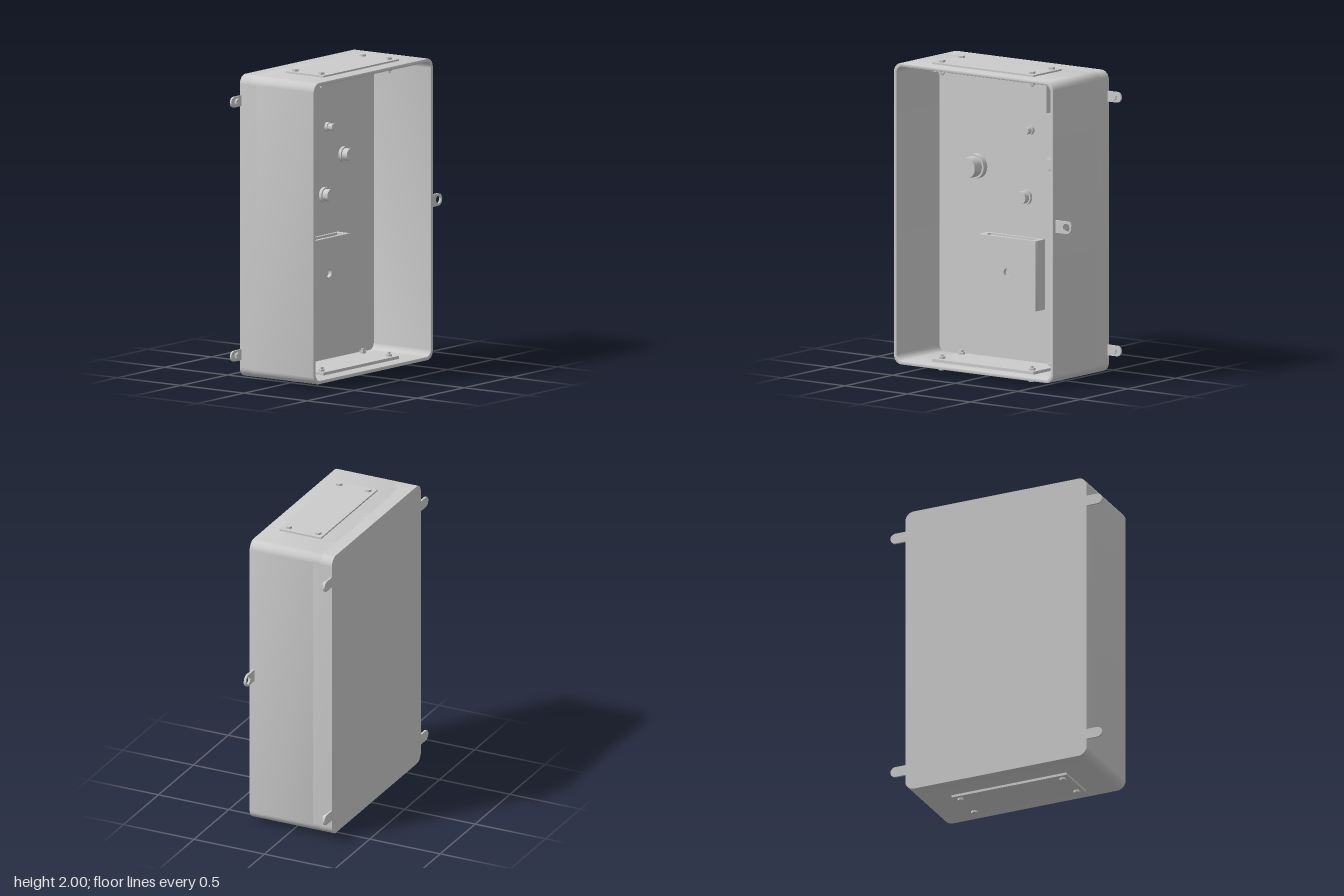
import * as THREE from 'three';
import { toCreasedNormals } from 'three/addons/utils/BufferGeometryUtils.js';

const grey = new THREE.MeshStandardMaterial({ color: 0xcccccc });
const X0 = -0.65, X1 = 0.625, Y0 = 0.03, Y1 = 1.975, CX = (X0 + X1) / 2, CY = (Y0 + Y1) / 2;
const BACK = -0.293, FRONT = 0.293, FLOOR = -0.16;

// Rounded rectangle outline, drawn on a Shape or a Path
function roundRect(target, cx, cy, w, h, r) {
  const x = w / 2 - r, y = h / 2 - r;
  target.absarc(cx + x, cy + y, r, 0, Math.PI / 2);
  target.absarc(cx - x, cy + y, r, Math.PI / 2, Math.PI);
  target.absarc(cx - x, cy - y, r, Math.PI, Math.PI * 1.5);
  target.absarc(cx + x, cy - y, r, Math.PI * 1.5, Math.PI * 2);
  target.closePath();
  return target;
}

function circlePath(x, y, r) {
  return new THREE.Path().absarc(x, y, r, 0, Math.PI * 2);
}

function extrude(shape, z0, z1, options = {}) {
  const g = new THREE.ExtrudeGeometry(shape, { depth: z1 - z0, bevelEnabled: false, curveSegments: 10, ...options });
  return toCreasedNormals(g.translate(0, 0, z0), 0.6);
}

export function createModel() {
  const model = new THREE.Group();

  const add = (name, geometry, parent = model) => {
    const mesh = new THREE.Mesh(geometry, grey);
    mesh.name = name;
    parent.add(mesh);
    return mesh;
  };
  const box = (name, x0, x1, y0, y1, z0, z1, parent) =>
    add(name, new THREE.BoxGeometry(x1 - x0, y1 - y0, z1 - z0)
      .translate((x0 + x1) / 2, (y0 + y1) / 2, (z0 + z1) / 2), parent);
  // Cylinder along y or z; six sides make a hex head
  const rod = (name, r, from, to, a, b, axis, sides, parent) => {
    let g = new THREE.CylinderGeometry(r, r, to - from, sides);
    if (axis === 'z') g.rotateX(Math.PI / 2).translate(a, b, (from + to) / 2);
    else g.translate(a, (from + to) / 2, b);
    return add(name, toCreasedNormals(g, 0.6), parent);
  };

  // Enclosure: solid back and an open walled frame with a softened rim
  const W = X1 - X0, H = Y1 - Y0, B = 0.007, T = 0.024;
  const back = roundRect(new THREE.Shape(), CX, CY, W, H, 0.06);
  add('enclosureBack', extrude(back, BACK, FLOOR));
  const wall = roundRect(new THREE.Shape(), CX, CY, W - 2 * B, H - 2 * B, 0.06 - B);
  wall.holes.push(roundRect(new THREE.Path(), CX, CY, W - 2 * T + 2 * B, H - 2 * T + 2 * B, 0.045 + B));
  add('enclosureWalls', extrude(wall, FLOOR - 0.05, FRONT - B,
    { bevelEnabled: true, bevelSize: B, bevelThickness: B, bevelSegments: 2 }));

  // Bolted gland plates, one pair at the bottom and a mirrored pair at the top
  for (const top of [false, true]) {
    const gland = new THREE.Group();
    gland.name = top ? 'topGlandPlate' : 'bottomGlandPlate';
    const span = (a, b) => top ? [2 - b, 2 - a] : [a, b];
    box('outerPlate', -0.416, 0.392, ...span(0.014, 0.032), -0.1, 0.195, gland);
    box('innerPlate', -0.416, 0.392, ...span(0.05, 0.073), -0.1, 0.195, gland);
    for (const x of [-0.373, 0.346]) for (const z of [-0.058, 0.149]) {
      rod('boltHead', 0.022, ...span(0, 0.015), x, z, 'y', 6, gland);
      rod('boltShaft', 0.011, ...span(0.01, 0.1), x, z, 'y', 12, gland);
      rod('boltNut', 0.022, ...span(0.072, 0.087), x, z, 'y', 6, gland);
    }
    model.add(gland);
  }

  // Rounded tab that sticks out sideways from x to the tip
  const tab = (name, x, tip, y, r, z0, z1, holeR) => {
    const s = Math.sign(tip - x), c = tip - s * r, shape = new THREE.Shape();
    shape.moveTo(x, y - s * r);
    shape.lineTo(c, y - s * r);
    shape.absarc(c, y, r, s > 0 ? -Math.PI / 2 : Math.PI / 2, s > 0 ? Math.PI / 2 : Math.PI * 1.5);
    shape.lineTo(x, y + s * r);
    shape.closePath();
    if (holeR) shape.holes.push(circlePath(c, y, holeR));
    add(name, extrude(shape, z0, z1));
  };

  // Wall mounting tabs with hex bolts
  for (const y of [0.173, 1.81]) {
    tab('leftMountingTab', X1 - 0.01, 0.73, y, 0.034, BACK, -0.28);
    tab('rightMountingTab', X0 + 0.01, -0.757, y, 0.034, BACK, -0.28);
    for (const x of [0.68, -0.707]) {
      rod('mountingWasher', 0.017, -0.281, -0.272, x, y, 'z', 16);
      rod('mountingBolt', 0.023, -0.274, -0.261, x, y, 'z', 6);
    }
  }
  // Padlock eye on the left side
  tab('lockEye', X1 - 0.01, 0.752, 1.045, 0.04, 0.255, 0.27, 0.026);

  // Round fittings on the inner back wall: x, y, flange radius, body radius, flange and body front
  const fittings = [
    [-0.325, 1.28, 0.08, 0.067, -0.12, -0.045],
    [0.102, 1.555, 0.03, 0.023, -0.14, -0.105],
    [0.272, 1.355, 0.05, 0.04, -0.14, -0.1],
    [0.064, 1.12, 0.05, 0.04, -0.14, -0.1],
  ];
  for (const [x, y, flangeR, bodyR, flangeZ, bodyZ] of fittings) {
    rod('fittingFlange', flangeR, FLOOR - 0.01, flangeZ, x, y, 'z', 32);
    rod('fittingBody', bodyR, FLOOR, bodyZ, x, y, 'z', 32);
  }

  // Block below the ceiling
  box('upperBlock', -0.317, 0.317, 1.7, 1.955, FLOOR - 0.01, -0.045);

  // Lower module: body, bored front plate and slotted top
  const unit = new THREE.Group();
  unit.name = 'lowerModule';
  const [ax, bx, ay, by] = [-0.238, 0.217, 0.408, 0.862];
  box('moduleBody', ax, bx, ay, by - 0.035, FLOOR - 0.01, -0.085, unit);
  const face = roundRect(new THREE.Shape(), (ax + bx) / 2, (ay + by) / 2, bx - ax, by - ay, 0.006);
  face.holes.push(circlePath(-0.011, 0.635, 0.028));
  add('moduleFront', extrude(face, -0.085, -0.06), unit);
  box('slotBackWall', ax, bx, by - 0.035, by, FLOOR - 0.01, -0.142, unit);
  box('slotEndLeft', bx - 0.035, bx, by - 0.035, by, -0.142, -0.085, unit);
  box('slotEndRight', ax, ax + 0.035, by - 0.035, by, -0.142, -0.085, unit);
  for (const x of [-0.16, -0.011, 0.14]) box('slotTerminal', x - 0.022, x + 0.022, by - 0.036, by - 0.012, -0.13, -0.1, unit);
  model.add(unit);

  return model;
}
